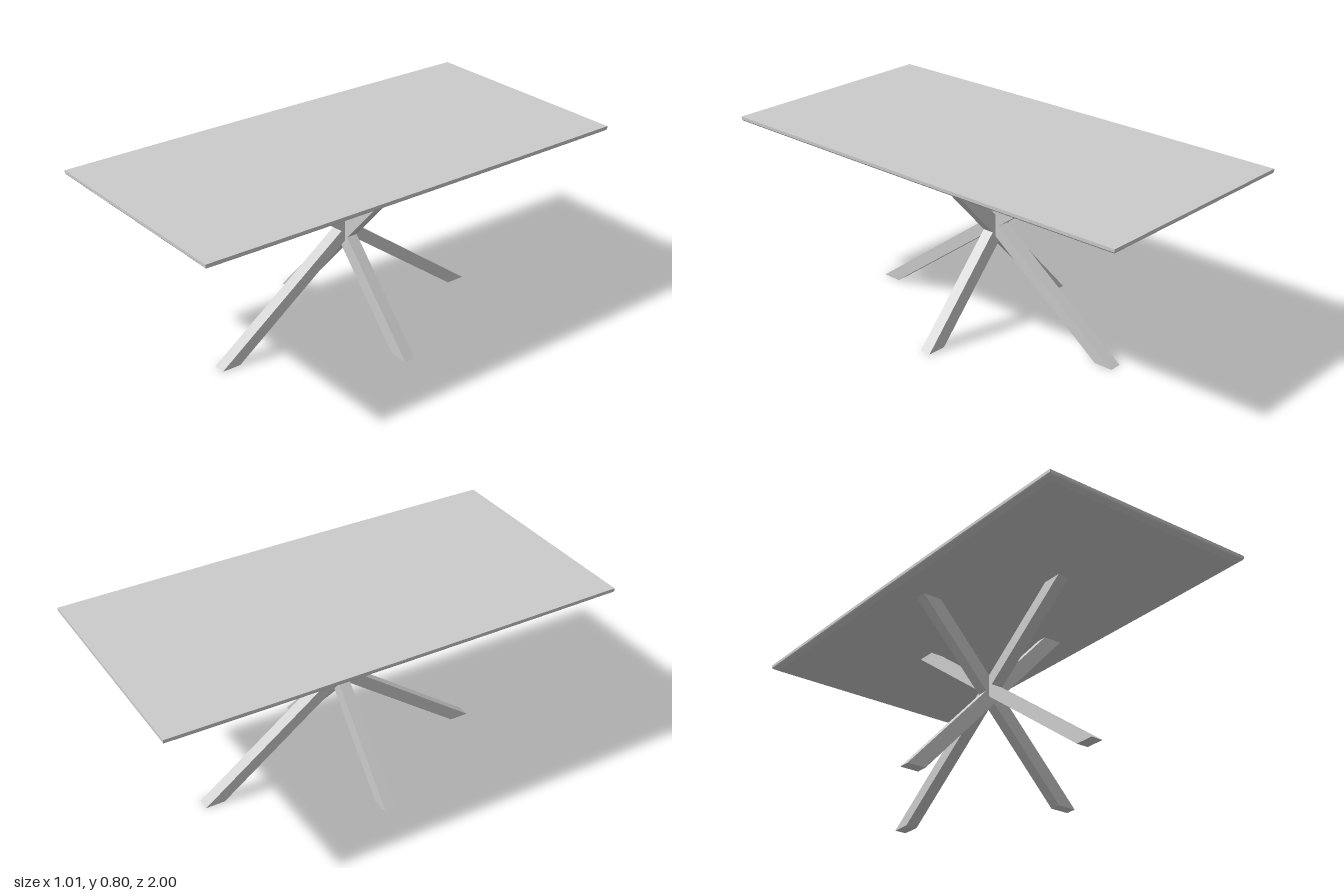
import * as THREE from 'three';

const TOP_Y = 0.8, UNDER_Y = 0.77;
const material = new THREE.MeshStandardMaterial({ color: 0xcccccc, flatShading: true });

// Outline of the table top, pulled in by an inset; long sides bow out slightly
function outline(inset, y) {
  const steps = 8, halfX = 0.5 - inset, halfZ = 1 - inset, bow = 0.004, ring = [];
  for (const side of [1, -1]) {
    for (let i = 0; i <= steps; i++) {
      const t = 1 - (2 * i) / steps;
      ring.push([side * (halfX + bow * (1 - t * t)), y, side * t * halfZ]);
    }
  }
  return ring;
}

// Thin slab with an upright edge and a bevel underneath
function createTop() {
  const rings = [[0, TOP_Y], [0, 0.787], [0.004, 0.782], [0.024, UNDER_Y]].map(([d, y]) => outline(d, y));
  const n = rings[0].length, last = (rings.length - 1) * n, index = [];
  for (let r = 0; r < rings.length - 1; r++) {
    for (let i = 0; i < n; i++) {
      const j = (i + 1) % n, a = r * n, b = a + n;
      index.push(a + i, b + i, b + j, a + i, b + j, a + j);
    }
  }
  for (let i = 1; i < n - 1; i++) {
    index.push(0, i, i + 1);
    index.push(last, last + i + 1, last + i);
  }
  const indexed = new THREE.BufferGeometry();
  indexed.setAttribute('position', new THREE.Float32BufferAttribute(rings.flat(2), 3));
  indexed.setIndex(index);
  const geometry = indexed.toNonIndexed();
  geometry.computeVertexNormals();
  return new THREE.Mesh(geometry, material);
}

// Two crossing bars cut level at floor and table top
// foot: centre of the foot, half: half the level cut, run: sideways run per unit height
function createCross(foot, half, run, depth) {
  const height = UNDER_Y + 0.001;
  const crossY = foot / run, notch = half / run, head = run * height - foot;
  const right = [
    [foot - half, 0], [foot + half, 0], [half, crossY],
    [head + half, height], [head - half, height],
  ];
  const left = right.map(([x, y]) => [-x, y]).reverse();
  const points = [[0, crossY - notch], ...right, [0, crossY + notch], ...left];
  const shape = new THREE.Shape(points.map(([x, y]) => new THREE.Vector2(x, y)));
  const geometry = new THREE.ExtrudeGeometry(shape, { depth, bevelEnabled: false });
  geometry.translate(0, 0, -depth / 2);
  return new THREE.Mesh(geometry, material);
}

export function createModel() {
  const table = new THREE.Group();
  table.name = 'table';

  const top = createTop();
  top.name = 'tableTop';

  const base = new THREE.Group();
  base.name = 'base';
  const crosswise = createCross(0.3825, 0.0425, 0.9156, 0.05);
  crosswise.name = 'crosswiseLegs';
  const lengthwise = createCross(0.6075, 0.0425, 1.362, 0.054);
  lengthwise.name = 'lengthwiseLegs';
  lengthwise.rotation.y = Math.PI / 2;
  base.add(crosswise, lengthwise);

  table.add(top, base);
  return table;
}
